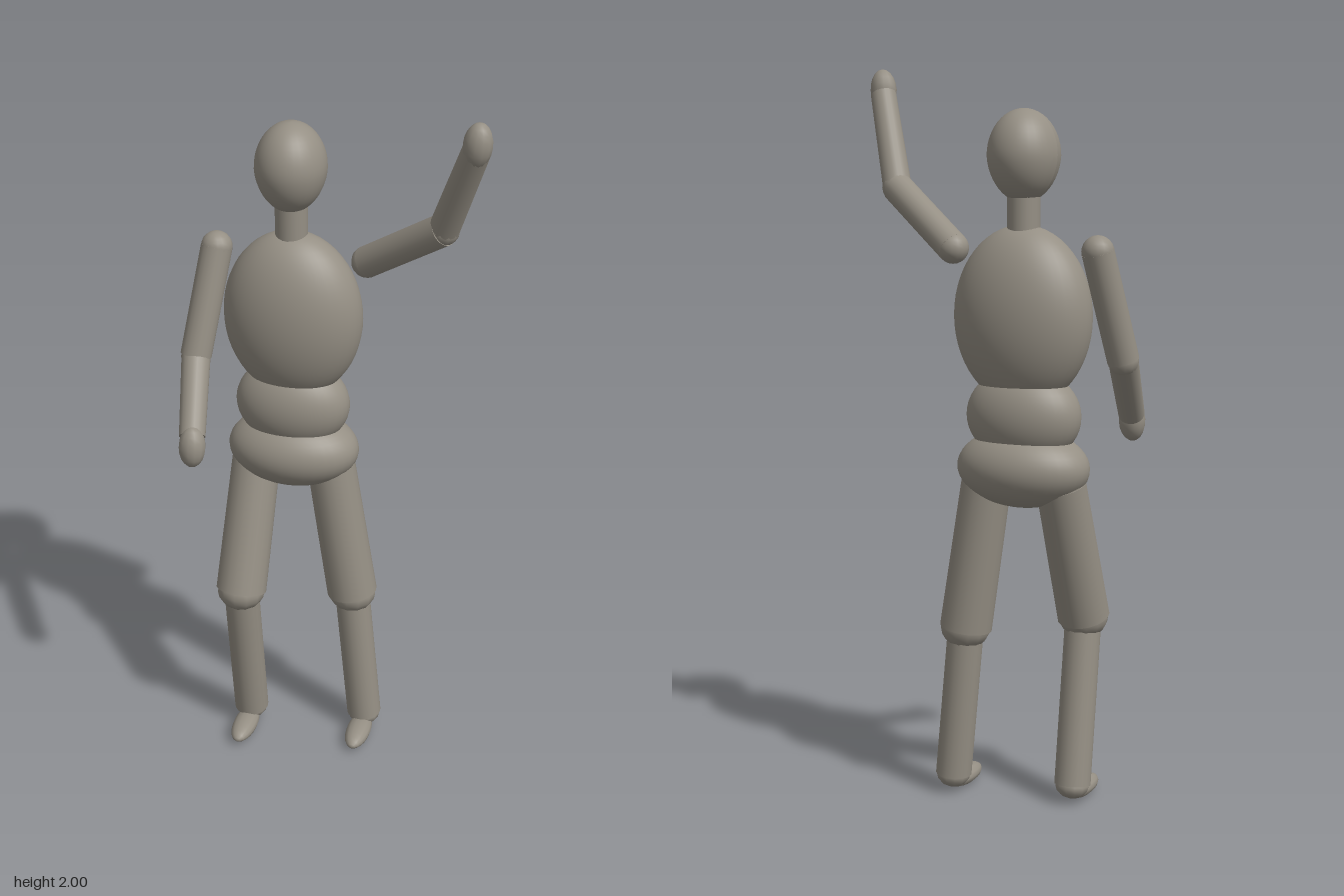
import * as THREE from 'three';

const clay = new THREE.MeshStandardMaterial({ color: 0x958f84 });
clay.name = 'warm grey clay';
const V = (p) => new THREE.Vector3(...p);
const UP = new THREE.Vector3(0, 1, 0);

export function createModel() {
  const model = new THREE.Group();
  model.name = 'posedMannequin';

  const add = (name, geometry) => {
    const mesh = new THREE.Mesh(geometry, clay);
    mesh.name = name;
    model.add(mesh);
    return mesh;
  };

  // Ellipsoid; its y radius can be turned towards a direction
  const ball = (name, pos, radii, dir, w = 16, h = 12) => {
    const mesh = add(name, new THREE.SphereGeometry(1, w, h));
    mesh.scale.set(...radii);
    mesh.position.set(...pos);
    if (dir) mesh.quaternion.setFromUnitVectors(UP, V(dir).normalize());
    return mesh;
  };

  // Cylinder running between two joints
  const limb = (name, a, b, ra, rb) => {
    const from = V(a), axis = V(b).sub(from);
    const mesh = add(name, new THREE.CylinderGeometry(rb, ra, axis.length(), 20));
    mesh.position.copy(from).addScaledVector(axis, 0.5);
    mesh.quaternion.setFromUnitVectors(UP, axis.normalize());
  };

  // Head, slightly narrower at the chin, and neck
  const head = ball('head', [-0.135, 1.765, -0.085], [0.096, 0.122, 0.105], null, 32, 24);
  const p = head.geometry.attributes.position;
  for (let i = 0; i < p.count; i++) {
    const k = 1 + 0.06 * Math.min(0, p.getY(i));
    p.setXYZ(i, p.getX(i) * k, p.getY(i), p.getZ(i) * k);
  }
  head.geometry.computeVertexNormals();
  limb('neck', [-0.135, 1.54, -0.085], [-0.135, 1.69, -0.085], 0.044, 0.044);

  // Torso
  ball('chest', [-0.133, 1.345, -0.084], [0.193, 0.241, 0.128], null, 40, 28);
  ball('abdomen', [-0.136, 1.08, -0.084], [0.161, 0.13, 0.108], null, 36, 24);
  ball('pelvis', [-0.135, 0.94, -0.084], [0.186, 0.108, 0.131], null, 36, 24);

  // Arms: shoulder, elbow, wrist, hand centre and hand direction
  const arms = [
    ['right', [-0.345, 1.52, -0.085], [-0.386, 1.23, 0.0], [-0.35, 1.065, 0.16],
      [-0.345, 1.044, 0.178], [0, -1, 0.15]],
    ['left', [0.072, 1.52, -0.085], [0.295, 1.675, 0.02], [0.39, 1.93, 0.12],
      [0.392, 1.942, 0.125], [0.1, 1, 0.05]],
  ];
  for (const [side, shoulder, elbow, wrist, hand, dir] of arms) {
    ball(side + 'Shoulder', shoulder, [0.043, 0.043, 0.043]);
    limb(side + 'UpperArm', shoulder, elbow, 0.043, 0.043);
    ball(side + 'Elbow', elbow, [0.042, 0.042, 0.042], null, 12, 8);
    limb(side + 'Forearm', elbow, wrist, 0.04, 0.036);
    ball(side + 'Hand', hand, [0.037, 0.058, 0.036], dir, 12, 10);
  }

  // Legs: hip, knee, ankle
  const legs = [
    ['right', [-0.243, 0.9, -0.08], [-0.262, 0.515, 0.04], [-0.262, 0.055, -0.03]],
    ['left', [-0.028, 0.9, -0.085], [0.036, 0.48, -0.085], [0.075, 0.055, -0.085]],
  ];
  for (const [side, hip, knee, ankle] of legs) {
    ball(side + 'Hip', hip, [0.066, 0.05, 0.066]);
    limb(side + 'Thigh', hip, knee, 0.068, 0.072);
    ball(side + 'Knee', knee, [0.069, 0.06, 0.069], null, 12, 10);
    limb(side + 'Shin', knee, ankle, 0.05, 0.05);
    ball(side + 'Ankle', [ankle[0], 0.052, ankle[2]], [0.047, 0.036, 0.047], null, 12, 8);
    ball(side + 'Foot', [ankle[0], 0.029, ankle[2] + 0.067], [0.036, 0.087, 0.026], [0, 0, 1], 14, 12);
  }
  return model;
}
